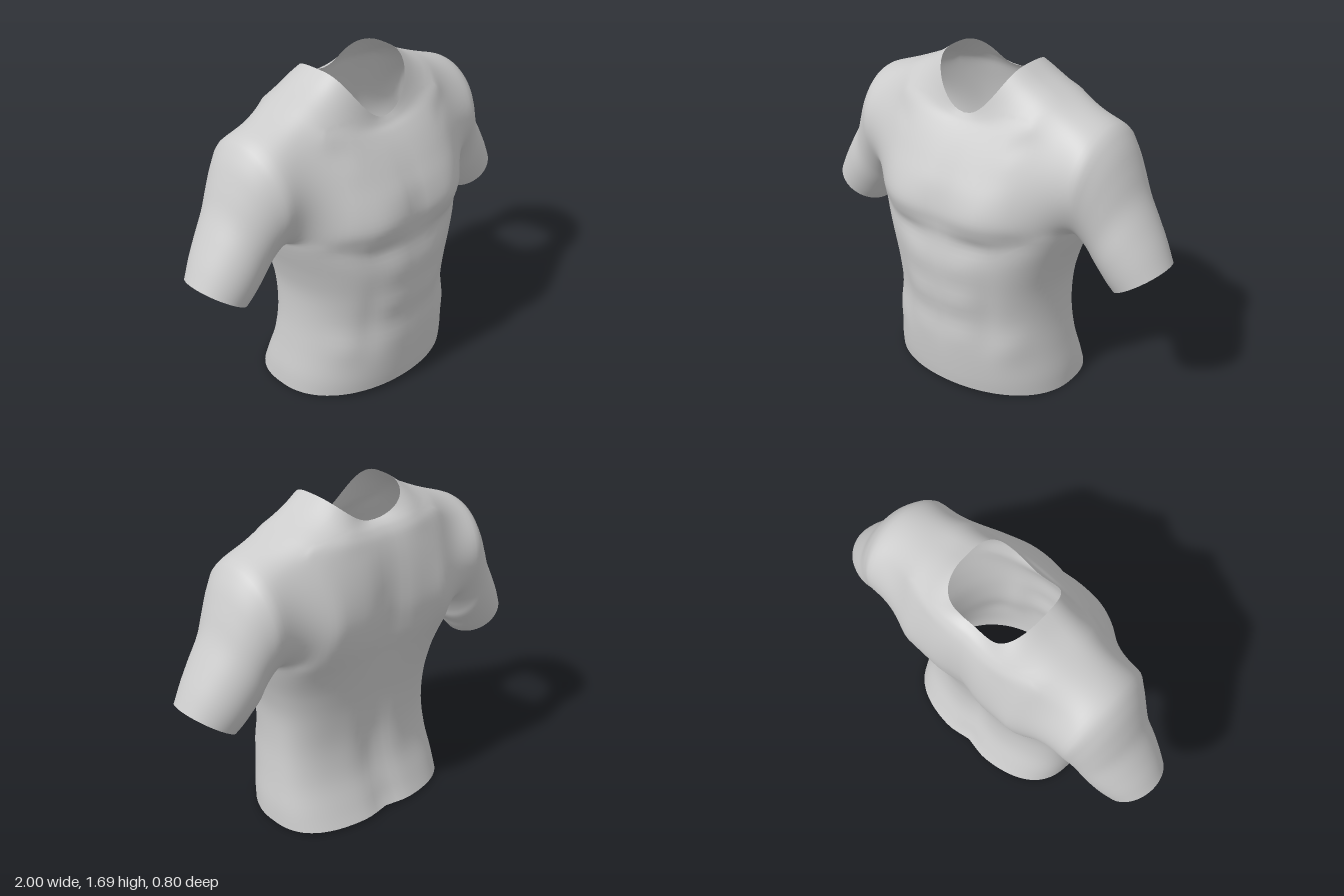
import * as THREE from 'three';
import { mergeVertices } from 'three/addons/utils/BufferGeometryUtils.js';

// Body rings from hem to neckline:
// side y, front y, back y, half width, front z, back z, front roundness, back roundness
const RINGS = [
  [0.00, 0.03, 0.012, 0.51, 0.36, -0.39, 2.05, 2.75],
  [0.10, 0.11, 0.10, 0.503, 0.37, -0.35, 2.1, 2.7],
  [0.25, 0.25, 0.25, 0.48, 0.38, -0.295, 2.15, 2.6],
  [0.42, 0.42, 0.42, 0.462, 0.375, -0.275, 2.2, 2.5],
  [0.60, 0.60, 0.60, 0.465, 0.39, -0.29, 2.3, 2.5],
  [0.75, 0.75, 0.75, 0.50, 0.395, -0.32, 2.35, 2.4],
  [0.88, 0.88, 0.88, 0.545, 0.386, -0.35, 2.4, 2.4],
  [0.95, 0.95, 0.95, 0.565, 0.393, -0.368, 2.4, 2.4],
  [1.03, 1.03, 1.03, 0.57, 0.399, -0.385, 2.4, 2.4],
  [1.15, 1.14, 1.15, 0.57, 0.375, -0.397, 2.4, 2.4],
  [1.28, 1.24, 1.28, 0.57, 0.325, -0.388, 2.4, 2.4],
  [1.41, 1.33, 1.40, 0.57, 0.27, -0.365, 2.4, 2.4],
  [1.53, 1.39, 1.49, 0.53, 0.225, -0.335, 2.4, 2.4],
  [1.585, 1.42, 1.535, 0.40, 0.195, -0.305, 2.6, 2.6],
  [1.635, 1.44, 1.555, 0.30, 0.18, -0.278, 2.8, 2.8],
  [1.69, 1.455, 1.565, 0.22, 0.17, -0.25, 3.0, 3.0],
];

// Muscle relief, mirrored in x: x, y, spread x, spread y, height
const FRONT = [
  [0.23, 1.03, 0.14, 0.11, 0.02],    // chest
  [0, 1.05, 0.05, 0.18, -0.013],     // breastbone groove
  [0.20, 0.875, 0.12, 0.05, -0.012], // curved crease under the chest
  [0.40, 0.93, 0.08, 0.06, -0.014],
  [0.11, 0.74, 0.10, 0.07, 0.007],   // stomach rows
  [0.11, 0.54, 0.10, 0.06, 0.009],
  [0.11, 0.34, 0.10, 0.07, 0.007],
  [0.25, 0.50, 0.05, 0.20, -0.010],  // outer stomach groove
  [0.37, 0.32, 0.07, 0.09, 0.014],   // flank
  [0.36, 1.38, 0.06, 0.06, -0.010],  // hollow below the collarbone
];
const BACK = [
  [0, 1.05, 0.09, 0.40, -0.032],     // spine groove
  [0, 0.35, 0.08, 0.25, -0.014],
  [0, 0.02, 0.08, 0.12, -0.022],
  [0.45, 1.14, 0.18, 0.21, 0.062],   // shoulder blade
  [0.14, 0.40, 0.09, 0.25, 0.008],   // lower back
  [0.20, 1.60, 0.10, 0.09, 0.022],   // neck muscle
];

// Sleeve rings: top x, top y, bottom x, bottom y, front z, back z
const SLEEVE = [
  [0.63, 1.51, 0.58, 0.915, 0.20, -0.342],
  [0.72, 1.41, 0.605, 0.88, 0.168, -0.322],
  [0.777, 1.29, 0.63, 0.84, 0.142, -0.306],
  [0.825, 1.17, 0.65, 0.80, 0.125, -0.295],
  [0.89, 1.055, 0.69, 0.75, 0.117, -0.28],
  [0.95, 0.95, 0.72, 0.71, 0.105, -0.262],
  [1.00, 0.85, 0.75, 0.677, 0.09, -0.24],
];

const COLS = 48, STEP = 4, ROWS = (RINGS.length - 1) * STEP, SEG = 28, ZC = -0.05;
// Armhole in the half-body grid: first and last column and row, centre, half size
const I0 = 14, I1 = 34, J0 = 28, J1 = 48;
const CI = (I0 + I1) / 2, CJ = (J0 + J1) / 2, HI = I1 - CI, HJ = J1 - CJ;
const { clamp, lerp, smoothstep } = THREE.MathUtils;

// Smooth interpolation between table rows
function sampleRing(v) {
  const last = RINGS.length - 1, k = Math.min(Math.floor(v), last - 1), t = v - k;
  const [a, b, c, d] = [k - 1, k, k + 1, k + 2].map(n => RINGS[clamp(n, 0, last)]);
  return b.map((p, n) => p + 0.5 * t * (c[n] - a[n]
    + t * (2 * a[n] - 5 * p + 4 * c[n] - d[n] + t * (3 * (p - c[n]) + d[n] - a[n]))));
}

function relief(list, x, y) {
  let sum = 0;
  for (const [bx, by, sx, sy, h] of list) {
    const gy = h * Math.exp(-(((y - by) / sy) ** 2));
    sum += gy * Math.exp(-(((x - bx) / sx) ** 2));
    if (bx > 0) sum += gy * Math.exp(-(((x + bx) / sx) ** 2));
  }
  return sum;
}

// Point on the left half of the body: angle from front to back, ring number
function bodyPoint(angle, v) {
  const [yS, yF, yB, w, zF, zB, nF, nB] = sampleRing(v);
  const s = Math.max(0, Math.sin(angle)), c = Math.cos(angle);
  const front = c >= 0, mid = front ? yF : yB, n = front ? nF : nB;
  const fx = s < 1e-6 ? 0 : s ** (2 / n), fz = Math.abs(c) ** (2 / n);
  const x = w * fx, y = mid + (yS - mid) * fx ** 2;
  const bump = Math.min(1, Math.abs(c) * 1.8) * relief(front ? FRONT : BACK, x, y);
  const z = front ? ZC + (zF - ZC) * fz + bump : ZC - (ZC - zB) * fz - bump;
  return new THREE.Vector3(x, y, z);
}

// Grid point, with the grid bent so that the square armhole becomes round
function gridPoint(i, j) {
  const a = (i - CI) / HI, b = (j - CJ) / HJ;
  const m = Math.max(Math.abs(a), Math.abs(b)), r = Math.hypot(a, b) || 1;
  const k = lerp(m / r, 1, smoothstep(m, 1, 1.75));
  return bodyPoint((CI + a * k * HI) / COLS * Math.PI, (CJ + b * k * HJ) / STEP);
}

// Relax the surface around the armholes, less at the armpit, so body and sleeves flow together
function blendArmholes(geometry, edge) {
  const pos = geometry.attributes.position, index = geometry.index.array;
  const points = [], near = [], weight = [], p = new THREE.Vector3();
  for (let n = 0; n < pos.count; n++) {
    points.push(new THREE.Vector3().fromBufferAttribute(pos, n));
    p.copy(points[n]).setX(Math.abs(points[n].x));
    const d = Math.min(...edge.map(e => e.distanceTo(p)));
    weight.push((0.08 + 0.5 * smoothstep(p.y, 0.92, 1.12)) * (1 - smoothstep(d, 0.04, 0.17)));
    near.push(new Set());
  }
  index.forEach((v, n) => {
    const next = index[n % 3 === 2 ? n - 2 : n + 1];
    near[v].add(next);
    near[next].add(v);
  });
  for (let pass = 0; pass < 22; pass++) {
    const old = points.map(q => q.clone());
    points.forEach((q, n) => {
      if (weight[n] === 0) return;
      p.set(0, 0, 0);
      near[n].forEach(m => p.add(old[m]));
      q.lerp(p.divideScalar(near[n].size), weight[n]);
    });
  }
  points.forEach((q, n) => pos.setXYZ(n, q.x, q.y, q.z));
}

function shirtGeometry() {
  const pos = [], index = [], grid = [], loop = [];
  const add = p => pos.push(p.x, p.y, p.z) / 3 - 1;
  const quad = (a, b, c, d) => index.push(a, b, c, a, c, d);

  // Half body with an armhole
  for (let j = 0; j <= ROWS; j++) {
    grid.push([]);
    for (let i = 0; i <= COLS; i++) grid[j].push(add(gridPoint(i, j)));
  }
  for (let j = 0; j < ROWS; j++) for (let i = 0; i < COLS; i++) {
    if (i >= I0 && i < I1 && j >= J0 && j < J1) continue;
    quad(grid[j][i], grid[j][i + 1], grid[j + 1][i + 1], grid[j + 1][i]);
  }

  // Armhole edge, counter-clockwise from outside
  for (let j = J0; j < J1; j++) loop.push([I1, j]);
  for (let i = I1; i > I0; i--) loop.push([i, J1]);
  for (let j = J1; j > J0; j--) loop.push([I0, j]);
  for (let i = I0; i < I1; i++) loop.push([i, J0]);

  // Sleeve grown from the armhole edge
  const strands = loop.map(([i, j]) => {
    const phi = Math.atan2(j - CJ, i - CI), s = Math.sin(phi), c = Math.cos(phi);
    const pts = SLEEVE.map(([tx, ty, bx, by, zf, zb]) => new THREE.Vector3(
      (tx + bx + (tx - bx) * s) / 2, (ty + by + (ty - by) * s) / 2, (zf + zb - (zf - zb) * c) / 2));
    const curve = new THREE.CatmullRomCurve3([gridPoint(i, j), ...pts]);
    const ids = [grid[j][i]];
    for (let k = 1; k <= SEG; k++) ids.push(add(curve.getPoint(k / SEG)));
    return ids;
  });
  strands.forEach((p, n) => {
    const q = strands[(n + 1) % strands.length];
    for (let k = 0; k < SEG; k++) quad(p[k], q[k], q[k + 1], p[k + 1]);
  });

  // Mirror to the other half
  const count = pos.length / 3, tris = index.length;
  for (let n = 0; n < count; n++) pos.push(-pos[3 * n], pos[3 * n + 1], pos[3 * n + 2]);
  for (let n = 0; n < tris; n += 3) {
    index.push(index[n] + count, index[n + 2] + count, index[n + 1] + count);
  }
  let geometry = new THREE.BufferGeometry();
  geometry.setAttribute('position', new THREE.Float32BufferAttribute(pos, 3));
  geometry.setIndex(index);
  geometry = mergeVertices(geometry, 1e-5);
  blendArmholes(geometry, loop.map(([i, j]) => gridPoint(i, j)));
  geometry.computeVertexNormals();
  return geometry;
}

export function createModel() {
  const group = new THREE.Group();
  group.name = 'fittedShirt';
  const fabric = new THREE.MeshStandardMaterial({ color: 0xcccccc, side: THREE.DoubleSide });
  fabric.name = 'light grey fabric';
  const shirt = new THREE.Mesh(shirtGeometry(), fabric);
  shirt.name = 'shirt';
  group.add(shirt);
  return group;
}
